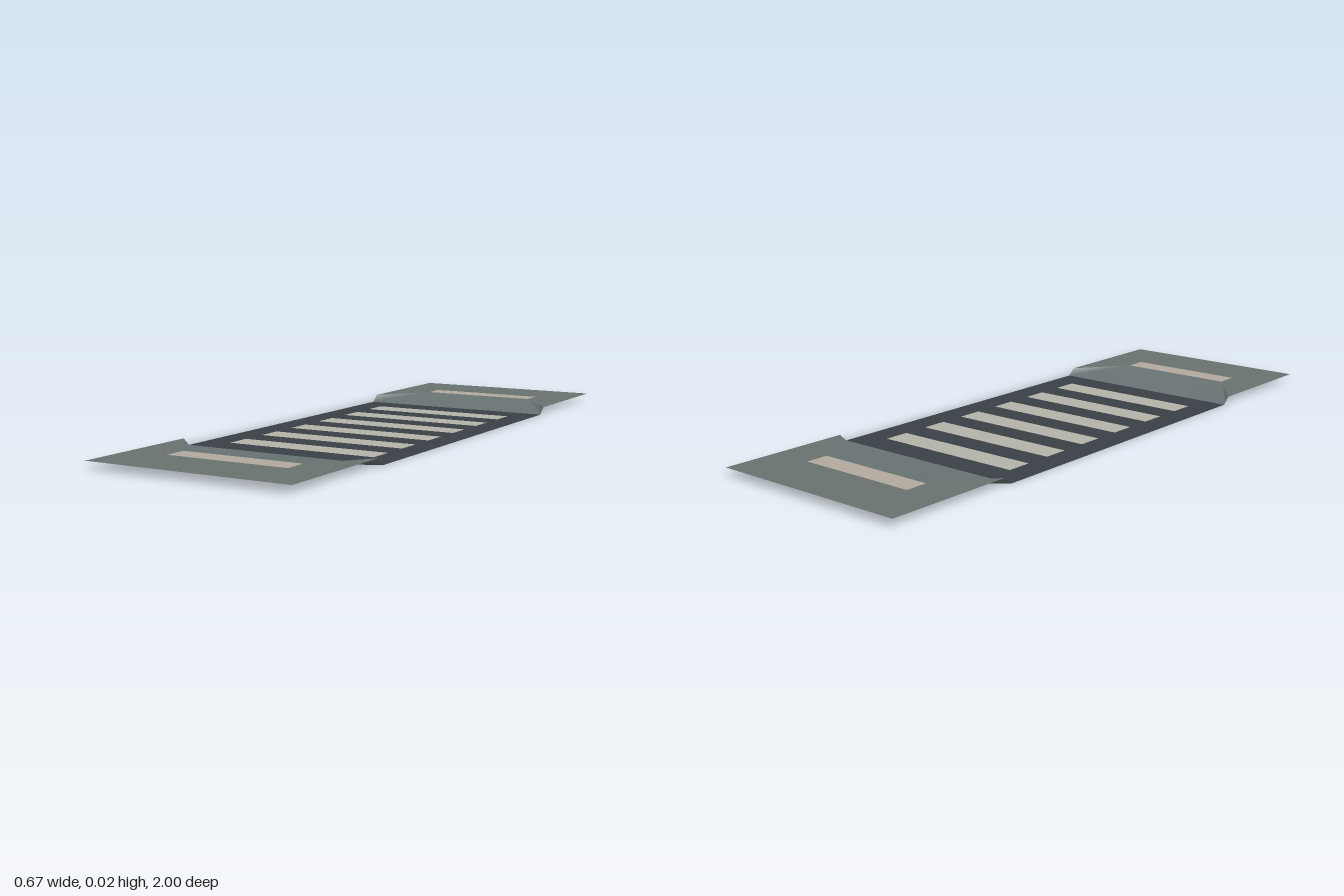
import * as THREE from 'three';

const W = 0.333;       // half width of the whole strip
const H = 0.023;       // kerb height
const ROAD = 0.55;     // half length of the carriageway
const KERB = 0.575;    // kerb top at the outer edge
const PAD_IN = 0.745, PAD_OUT = 0.818, PAD_W = 0.2;   // tactile pad

function material(name, color) {
  const m = new THREE.MeshStandardMaterial({ color, side: THREE.DoubleSide });
  m.name = name;
  return m;
}

// Corners of a rectangle centred on x = 0
const rect = (w, y0, y1) => [[-w, y0], [w, y0], [w, y1], [-w, y1]].map(p => new THREE.Vector2(...p));

// Flat upward-facing sheet; shape y runs towards the back (-z)
function sheet(name, points, mat, y = 0, holes = []) {
  const shape = new THREE.Shape(points);
  shape.holes = holes.map(h => new THREE.Path(h));
  const mesh = new THREE.Mesh(new THREE.ShapeGeometry(shape).rotateX(-Math.PI / 2), mat);
  mesh.position.y = y;
  mesh.name = name;
  return mesh;
}

export function createModel() {
  const group = new THREE.Group();
  group.name = 'pedestrianCrossing';

  const asphalt = material('asphalt', 0x3b4047);
  const paint = material('roadPaint', 0xb5b4aa);
  const paving = material('paving', 0x6a7371);
  const concrete = material('rampConcrete', 0x6a7475);
  const tactile = material('tactilePaving', 0xb3ab9e);

  // Carriageway with six inlaid crossing stripes
  const stripes = [];
  for (let i = 0; i < 6; i++) {
    const z = (i - 2.5) / 6;
    stripes.push(rect(0.25, z - 0.0415, z + 0.0415));
  }
  group.add(sheet('road', rect(W, -ROAD, ROAD), asphalt, 0, stripes));
  stripes.forEach((s, i) => group.add(sheet('crossingStripe' + (i + 1), s, paint)));

  // Raised pavement, dropped kerb and tactile pad at each end
  for (const side of ['back', 'front']) {
    const end = new THREE.Group();
    end.name = side + 'Pavement';

    const outline = [
      [W, 1], [-W, 1], [-W, KERB], [-PAD_W, PAD_IN], [-PAD_W, PAD_OUT],
      [PAD_W, PAD_OUT], [PAD_W, PAD_IN], [W, KERB],
    ].map(p => new THREE.Vector2(...p));
    end.add(sheet('pavement', outline, paving, H));
    end.add(sheet('tactilePad', rect(PAD_W, PAD_IN, PAD_OUT), tactile, H));

    // Ramp with a triangular flare on each side
    const geo = new THREE.BufferGeometry();
    geo.setAttribute('position', new THREE.Float32BufferAttribute([
      -W, 0, -ROAD, W, 0, -ROAD, PAD_W, H, -PAD_IN,
      -PAD_W, H, -PAD_IN, W, H, -KERB, -W, H, -KERB,
    ], 3));
    geo.setIndex([0, 1, 2, 0, 2, 3, 1, 4, 2, 0, 3, 5]);
    geo.computeVertexNormals();
    const ramp = new THREE.Mesh(geo, concrete);
    ramp.name = 'kerbRamp';
    end.add(ramp);

    if (side === 'front') end.rotation.y = Math.PI;
    group.add(end);
  }
  return group;
}
